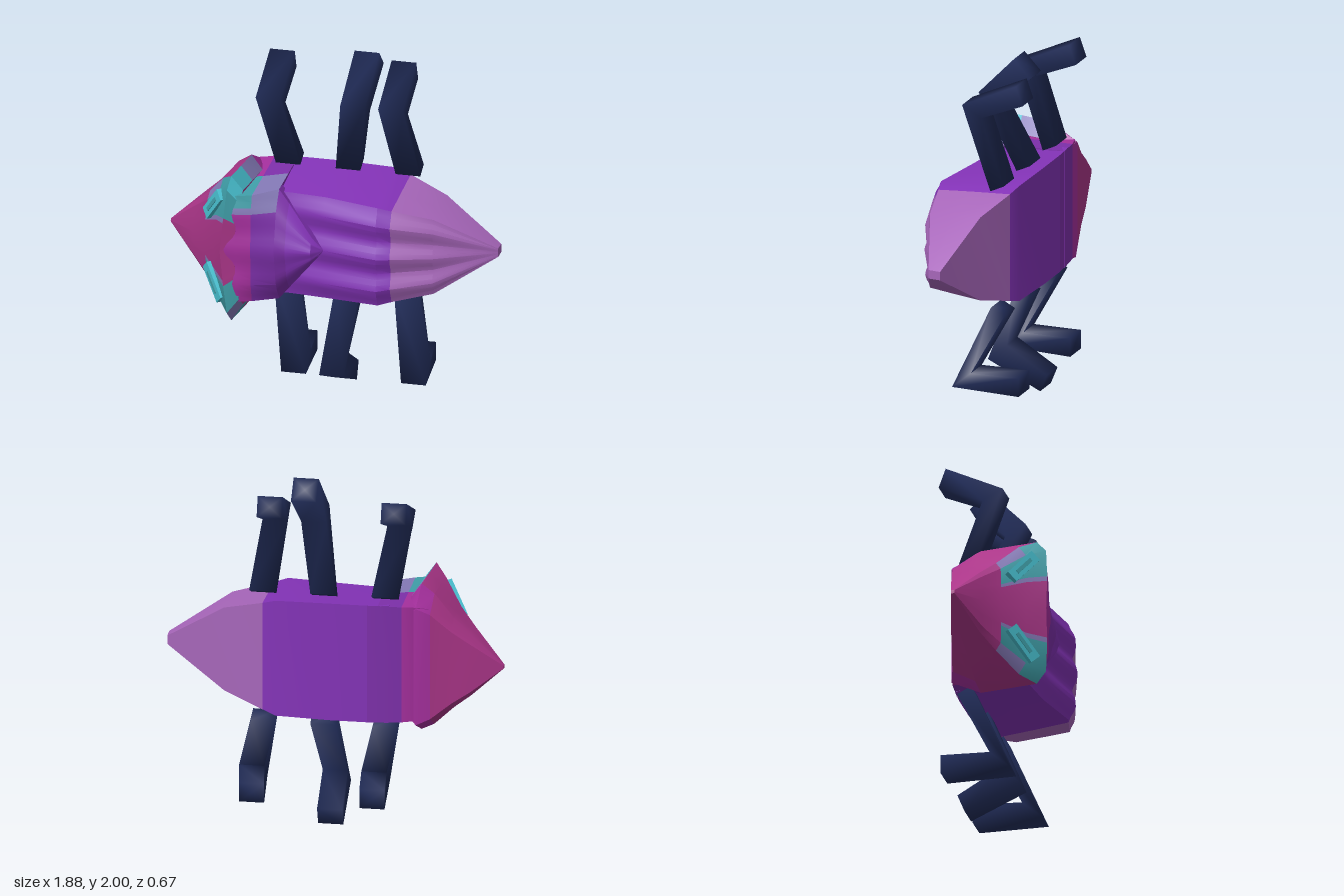
import * as THREE from 'three';
import { toCreasedNormals } from 'three/addons/utils/BufferGeometryUtils.js';

const V = (x, y, z) => new THREE.Vector3(x, y, z);
const mat = (name, color) => Object.assign(new THREE.MeshStandardMaterial({ color }), { name });

// Skin closed rings into a capped solid; paint(i, j) picks the material index of each quad.
function loft(name, rings, mats, paint = () => 0, crease = 0.45) {
  const n = rings[0].length, last = rings.length - 1, buckets = mats.map(() => []);
  const add = (m, ...tri) => buckets[m].push(tri);
  for (let i = 0; i < last; i++) for (let j = 0; j < n; j++) {
    const k = (j + 1) % n, a = rings[i][j], b = rings[i][k], c = rings[i + 1][k], d = rings[i + 1][j];
    add(paint(i, j), a, b, c);
    add(paint(i, j), a, c, d);
  }
  for (const e of [0, last]) {
    const r = rings[e], mid = r.reduce((s, p) => s.add(p), V(0, 0, 0)).divideScalar(n);
    r.forEach((p, j) => {
      const q = r[(j + 1) % n];
      add(paint(e ? last - 1 : 0, 0), mid, ...(e ? [p, q] : [q, p]));
    });
  }
  // turn every face outwards
  let volume = 0;
  buckets.flat().forEach(([a, b, c]) => { volume += a.dot(b.clone().cross(c)); });
  const pos = [], geo = new THREE.BufferGeometry();
  buckets.forEach((tris, m) => {
    geo.addGroup(pos.length / 3, tris.length * 3, m);
    tris.forEach(([a, b, c]) => (volume < 0 ? [a, c, b] : [a, b, c]).forEach(p => pos.push(p.x, p.y, p.z)));
  });
  geo.setAttribute('position', new THREE.Float32BufferAttribute(pos, 3));
  const mesh = new THREE.Mesh(toCreasedNormals(geo, crease), mats);
  mesh.name = name;
  return mesh;
}

// Body cross-section: flat underside, split sides, three soft ridges on the back.
const STEPS = 18, UNDERSIDE = STEPS + 4;
function shellRing(x, hBack, hFront, zBack, zEdge, zMid, groove) {
  const yc = 0.955, hSide = (hBack + hFront) / 2, zSide = zBack + (zEdge - zBack) * 0.5;
  const ring = [V(x, yc + hBack, zBack), V(x, yc + hSide, zSide)];
  for (let k = 0; k <= STEPS; k++) {
    const t = 1 - 2 * k / STEPS;
    const wave = groove * (0.5 - 0.5 * Math.cos(3 * Math.PI * t));
    ring.push(V(x, yc + hFront * t, zEdge + (zMid - zEdge) * (1 - t * t) - wave));
  }
  ring.push(V(x, yc - hSide, zSide), V(x, yc - hBack, zBack));
  return ring;
}

export function createModel() {
  const group = new THREE.Group();
  group.name = 'beetle';
  const purple = mat('mainPurple', 0x8433b8), lilac = mat('tailLilac', 0xa766ba);
  const pink = mat('headPink', 0xaa3588), magenta = mat('collarMagenta', 0xa7309f);
  const violet = mat('thoraxViolet', 0x7e30ab), teal = mat('eyePatchTeal', 0x40a0aa);
  const slate = mat('slatePurple', 0x857ab8), cyan = mat('eyeCyan', 0x48c0d0);
  const navy = mat('legNavy', 0x202b56);

  // abdomen and pointed tail
  const body = [
    [-0.32, 0.345, 0.30, -0.255, 0.15, 0.15, 0.01],
    [-0.2, 0.345, 0.30, -0.265, 0.16, 0.17, 0.02],
    [0, 0.345, 0.30, -0.265, 0.19, 0.21, 0.03],
    [0.31, 0.34, 0.29, -0.255, 0.25, 0.27, 0.03],
    [0.385, 0.315, 0.27, -0.235, 0.23, 0.25, 0.03],
    [0.61, 0.245, 0.22, -0.16, 0.17, 0.18, 0.025],
    [0.94, 0.025, 0.025, -0.07, 0, 0, 0],
  ].map(s => shellRing(...s));
  group.add(loft('abdomen', body, [purple, lilac, violet],
    (i, j) => (i > 3 ? 1 : i === 0 && j === UNDERSIDE ? 2 : 0)));

  // thorax block, coloured in bands with a patch behind the upper eye
  const thorax = [
    [-0.54, 0.31, 0.31, -0.18, 0.3, 0.325, 0.01],
    [-0.47, 0.335, 0.315, -0.23, 0.31, 0.32, 0.01],
    [-0.39, 0.34, 0.315, -0.25, 0.28, 0.31, 0.01],
    [-0.26, 0.345, 0.325, -0.262, 0.18, 0.295, 0.01],
  ].map(s => shellRing(...s));
  group.add(loft('thorax', thorax, [magenta, violet, teal, slate], (i, j) => {
    if (j > 0 && j < 5) return i < 2 && j < 4 ? 2 : 3;
    return i < 2 ? 0 : 1;
  }));

  // V-shaped rear of the thorax shield, overlapping the abdomen
  const shield = [
    [-0.26, 0.325, 0.325, 0.1, 0.18, 0.295, 0.01],
    [-0.2, 0.25, 0.25, 0.1, 0.19, 0.29, 0.01],
    [-0.06, 0.075, 0.075, 0.1, 0.23, 0.27, 0.005],
    [0, 0.004, 0.004, 0.1, 0.21, 0.21, 0],
  ].map(s => shellRing(...s));
  group.add(loft('shieldPoint', shield, [violet, purple], i => (i < 1 ? 0 : 1)));

  // head: wedge widening to a flared collar, then a flange stepping in to the thorax
  const half = [[0.4, 1], [0.47, 1], [0.85, 0.98], [1, 0.88], [1, 0.6], [1, 0.3], [0.8, 0]];
  const outline = [[0, 1], ...half, ...half.slice().reverse().map(([y, z]) => [-y, z])];
  const head = [
    [-0.955, 0.92, 0.01, -0.11, -0.09],
    [-0.79, 0.92, 0.18, -0.16, 0.03],
    [-0.7, 0.925, 0.265, -0.18, 0.11],
    [-0.6, 0.935, 0.385, -0.21, 0.23],
    [-0.53, 0.94, 0.43, -0.235, 0.33],
    [-0.46, 0.945, 0.34, -0.23, 0.31],
  ].map(([x, yc, h, zb, zf]) => outline.map(([y, f]) => {
    const z = zb + (zf - zb) * f;
    return V(x - 0.1 * (z - 0.05) + 0.1 * h * Math.abs(y), yc + h * y, z);
  }));
  group.add(loft('head', head, [pink, teal, slate, magenta, cyan], (i, j) => {
    const k = Math.min(j, 14 - j), top = j < 7;
    if (i > 2 && k > 5) return 3;
    if (i === 4) {
      if (k === 3) return top ? 4 : 2;
      if (k === 4) return top ? 4 : 1;
      return k === 5 && top ? 2 : k === 2 ? 1 : 0;
    }
    if (i < 2) return 0;
    if (k === 2 || (k === 3 && i === 3)) return 1;
    return k === 1 || k === 3 ? 2 : 0;
  }, 0.4));

  // raised eyes with a narrow slit, laid on the sloping cheeks
  for (const [name, s, y] of [['upperEye', 1, 1.175], ['lowerEye', -1, 0.71]]) {
    const along = V(0.11, 0.17 * s, 0.11).normalize();
    const side = V(-0.75, 0.05 * s, 0.66).cross(along).normalize();
    const normal = along.clone().cross(side);
    const eye = new THREE.Group();
    eye.name = name;
    const frame = new THREE.Mesh(new THREE.BoxGeometry(0.22, 0.07, 0.04), cyan);
    frame.name = 'eyeFrame';
    const slit = new THREE.Mesh(new THREE.BoxGeometry(0.13, 0.022, 0.006), teal);
    slit.name = 'eyeSlit';
    slit.position.z = 0.021;
    eye.add(frame, slit);
    eye.quaternion.setFromRotationMatrix(new THREE.Matrix4().makeBasis(along, side, normal));
    eye.position.set(-0.615, y, 0.21);
    group.add(eye);
  }

  // legs: bent square bars; each joint has an outer and an inner [z, y] edge
  const upper = [[[-0.15, 1.30], [-0.23, 1.34]], [[0.045, 1.76], [-0.07, 1.7]]];
  const lower = [[[-0.15, 0.61], [-0.23, 0.57]], [[0.045, 0.14], [-0.07, 0.24]]];
  const upFoot = [[-0.28, 1.92], [-0.32, 1.81]], flatFoot = [[-0.34, 0.13], [-0.34, 0.24]];
  const legs = [
    ['upperFrontLeg', [-0.29, -0.355, -0.355], [...upper, upFoot]],
    ['upperMiddleLeg', [0.05, 0.125, 0.15], [...upper, [[-0.18, 2], [-0.28, 1.9]]]],
    ['upperRearLeg', [0.39, 0.34, 0.335], [...upper, upFoot]],
    ['lowerFrontLeg', [-0.3, -0.21, -0.24], [...lower, flatFoot]],
    ['lowerMiddleLeg', [0.05, 0.005, 0], [...lower, [[-0.27, 0], [-0.31, 0.1]]]],
    ['lowerRearLeg', [0.38, 0.47, 0.43], [...lower, flatFoot]],
  ];
  for (const [name, xs, joints] of legs) {
    const rings = joints.map(([[za, ya], [zb, yb]], i) => [
      V(xs[i] - 0.07, ya, za), V(xs[i] + 0.07, ya, za), V(xs[i] + 0.07, yb, zb), V(xs[i] - 0.07, yb, zb),
    ]);
    group.add(loft(name, rings, [navy], () => 0, 2));
  }
  return group;
}
